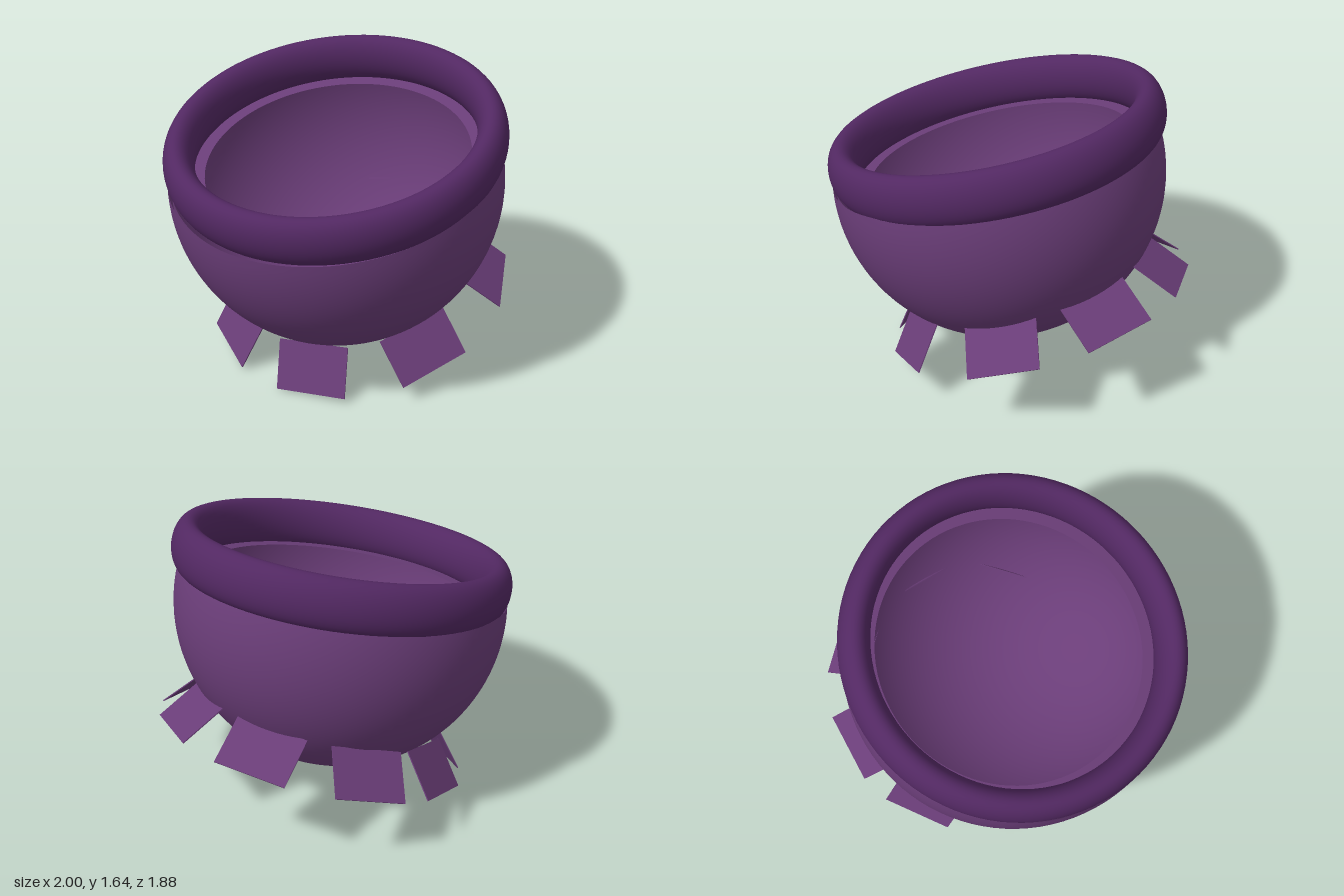
import * as THREE from 'three';

export function createModel() {
  const root = new THREE.Group();
  root.name = 'tiltedBowl';
  const bowlMat = new THREE.MeshStandardMaterial({ color: 0x6a3d78, side: THREE.DoubleSide });
  const rimMat = new THREE.MeshStandardMaterial({ color: 0x522862 });

  const add = (parent, name, geometry, material) => {
    const mesh = new THREE.Mesh(geometry, material);
    mesh.name = name;
    parent.add(mesh);
    return mesh;
  };

  // Group whose local y axis leans along the given direction
  const tilted = (name, position, axis) => {
    const g = new THREE.Group();
    g.name = name;
    g.position.set(...position);
    g.quaternion.setFromUnitVectors(new THREE.Vector3(0, 1, 0), new THREE.Vector3(...axis).normalize());
    root.add(g);
    return g;
  };

  // Arc of a sphere profile from the bottom pole up to a cut height
  const arc = (radius, cut) => {
    const end = Math.PI / 2 + Math.asin(cut / radius);
    return Array.from({ length: 41 }, (_, i) => {
      const a = (end * i) / 40;
      return new THREE.Vector2(radius * Math.sin(a), -radius * Math.cos(a));
    });
  };

  const rimAxis = [-0.235, 1, 0.075];

  // Bowl: thin wall made of an outer and an inner shell
  const bowl = tilted('bowl', [-0.075, 1.075, 0.01], rimAxis);
  add(bowl, 'outerShell', new THREE.LatheGeometry(arc(0.911, 0.14), 96), bowlMat);
  add(bowl, 'innerShell', new THREE.LatheGeometry(arc(0.893, 0.12).reverse(), 96), bowlMat);

  // Thick rounded rim, taller than it is wide, with a flat lip inside
  const rim = tilted('rim', [-0.092, 1.302, 0.017], rimAxis);
  const ring = new THREE.TorusGeometry(0.843, 0.083, 32, 96);
  ring.rotateX(Math.PI / 2).scale(1, 1.65, 1);
  add(rim, 'rimRing', ring, rimMat);
  const lip = new THREE.RingGeometry(0.725, 0.87, 96);
  lip.rotateX(-Math.PI / 2).translate(0, -0.115, 0);
  add(rim, 'innerLip', lip, bowlMat);

  // Eight thin plates flaring out around the underside, slightly unevenly spaced
  const plates = tilted('plates', [-0.095, 1.065, -0.005], [-0.335, 0.94, 0.079]);
  const plate = new THREE.BoxGeometry(0.006, 0.28, 0.4);
  plate.rotateZ(0.71).translate(0.754, -0.709, 0);
  [11, 55, 106, 154, 199, 246, 284, 328].forEach((angle, i) => {
    add(plates, 'plate' + (i + 1), plate, bowlMat).rotation.y = -angle * Math.PI / 180;
  });
  return root;
}
